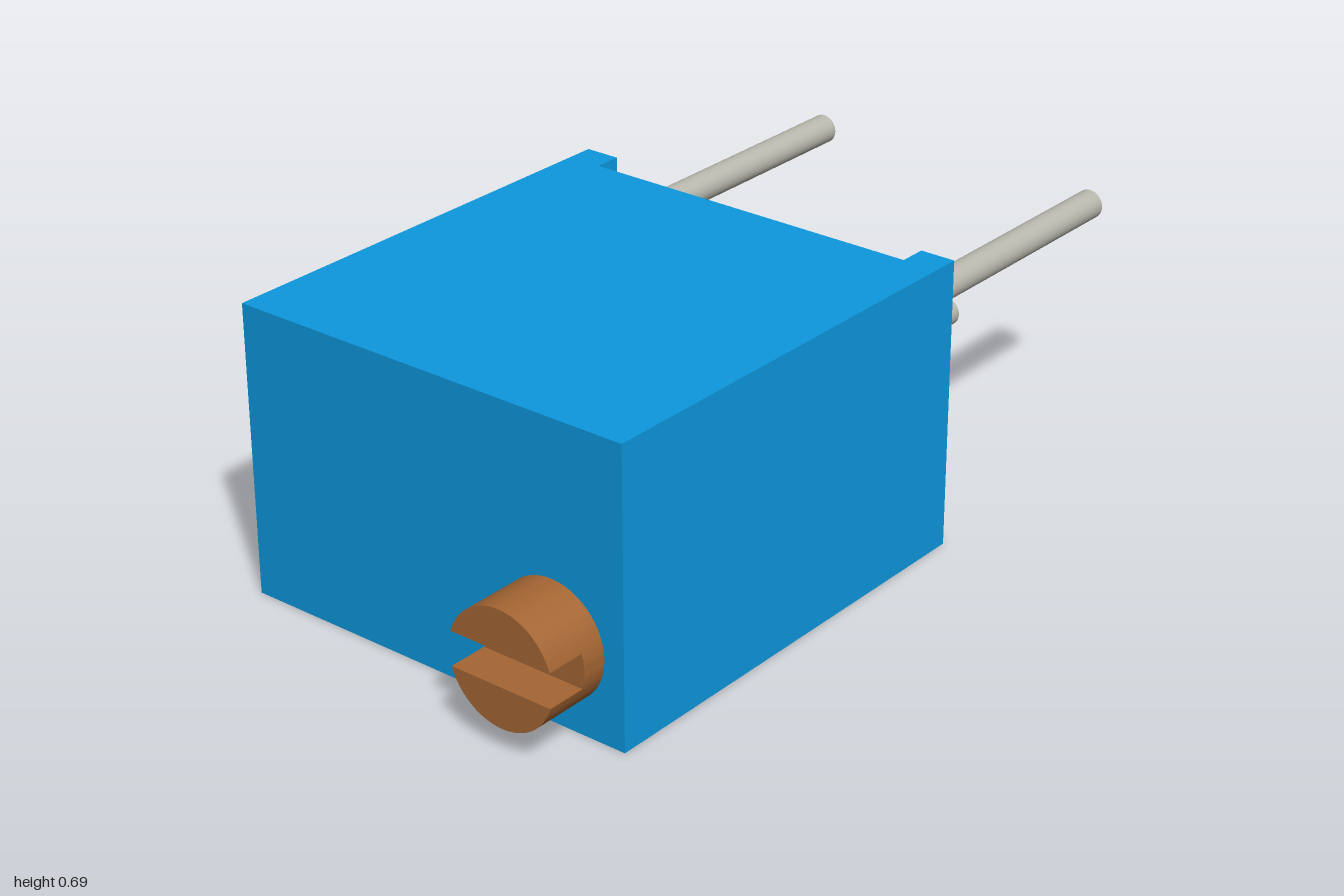
import * as THREE from 'three';
import { toCreasedNormals } from 'three/addons/utils/BufferGeometryUtils.js';

const BACK = -0.255, RECESS = -0.19, FRONT = 0.845, HEIGHT = 0.685;
const HALF_WIDTH = 0.51, RECESS_HALF = 0.425;

function mesh(name, geometry, color) {
  const m = new THREE.Mesh(geometry, new THREE.MeshStandardMaterial({ color }));
  m.name = name;
  return m;
}

// Extrude a shape along z and keep its curved sides smooth.
function extrudeZ(shape, z0, z1) {
  const g = new THREE.ExtrudeGeometry(shape, { depth: z1 - z0, bevelEnabled: false, curveSegments: 48 });
  g.translate(0, 0, z0);
  return toCreasedNormals(g, 0.6);
}

// Block with a full-height recess in its back, drawn in plan (shape y = -z).
function makeHousing() {
  const plan = new THREE.Shape([
    [-HALF_WIDTH, FRONT], [HALF_WIDTH, FRONT], [HALF_WIDTH, BACK], [RECESS_HALF, BACK],
    [RECESS_HALF, RECESS], [-RECESS_HALF, RECESS], [-RECESS_HALF, BACK], [-HALF_WIDTH, BACK],
  ].map(([x, z]) => new THREE.Vector2(x, -z)));
  const g = new THREE.ExtrudeGeometry(plan, { depth: HEIGHT, bevelEnabled: false });
  g.rotateX(-Math.PI / 2);
  return mesh('housing', g, 0x0d98de);
}

// Round screw head: a solid disc with two segments leaving a slot between them.
function makeScrew() {
  const radius = 0.135, slotFloor = 0.905, tip = 1;
  const slotAngle = Math.asin(0.04 / radius);
  const screw = new THREE.Group();
  screw.name = 'adjustmentScrew';
  const disc = new THREE.Shape().absarc(0, 0, radius, 0, Math.PI * 2, false);
  screw.add(mesh('screwBase', extrudeZ(disc, FRONT, slotFloor), 0xa56633));
  for (const [name, turn] of [['upperScrewHalf', 0], ['lowerScrewHalf', Math.PI]]) {
    const segment = new THREE.Shape();
    segment.absarc(0, 0, radius, turn + slotAngle, turn + Math.PI - slotAngle, false);
    segment.closePath();
    screw.add(mesh(name, extrudeZ(segment, slotFloor, tip), 0xa56633));
  }
  screw.position.set(0.325, 0.195, 0);
  return screw;
}

// Straight round pin from the recess to the back.
function makePin(name, x, y) {
  const length = RECESS + 1;
  const g = new THREE.CylinderGeometry(0.035, 0.035, length, 32);
  g.rotateX(Math.PI / 2);
  const pin = mesh(name, g, 0xb9b8ae);
  pin.position.set(x, y, -1 + length / 2);
  return pin;
}

export function createModel() {
  const model = new THREE.Group();
  model.name = 'trimmerResistor';
  model.add(
    makeHousing(),
    makeScrew(),
    makePin('leftPin', 0.385, 0.54),
    makePin('middlePin', 0, 0.155),
    makePin('rightPin', -0.385, 0.54),
  );
  return model;
}
